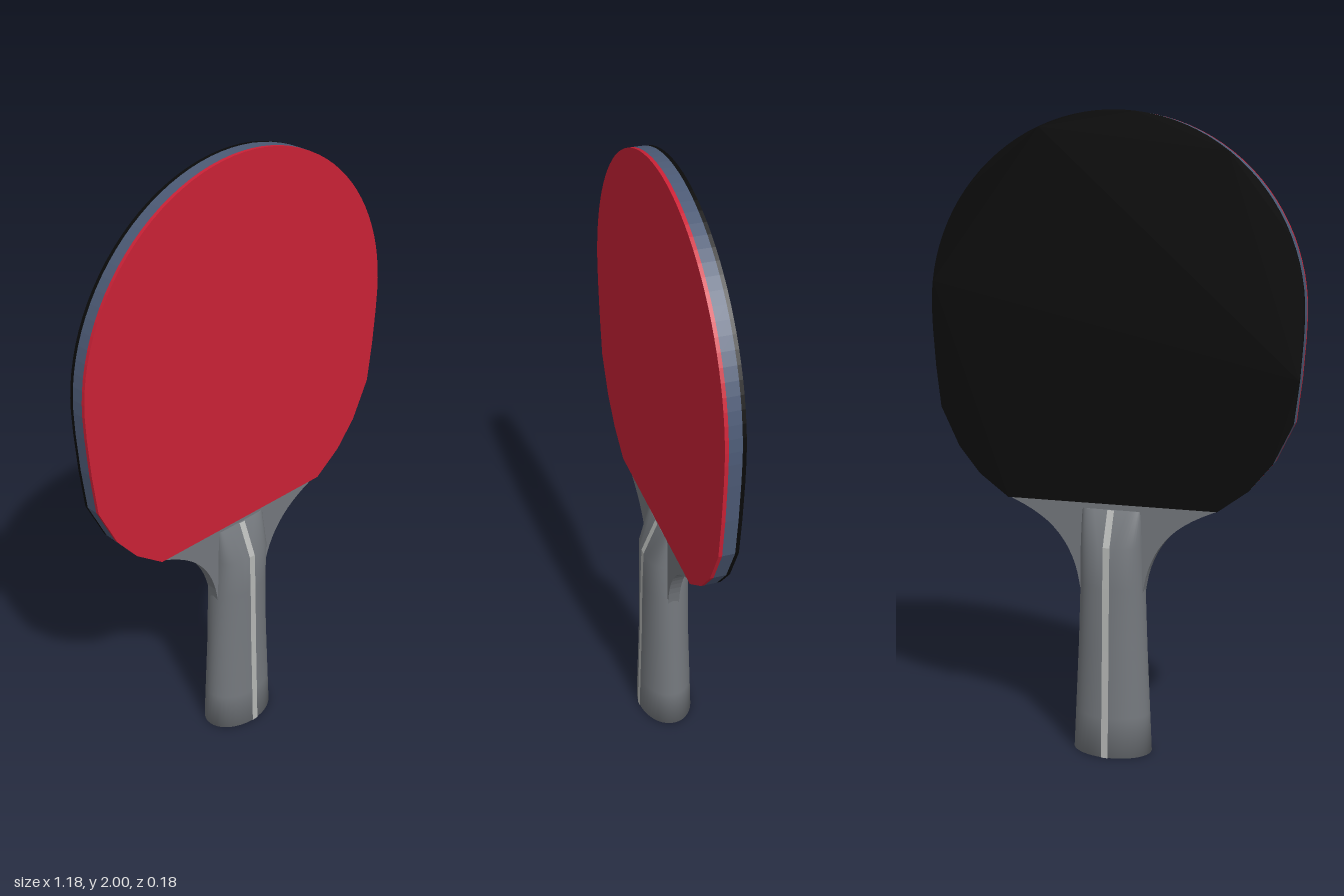
import * as THREE from 'three';

const mat = (color, side = THREE.FrontSide) =>
  new THREE.MeshStandardMaterial({ color, side });

// Extrude an outline between two z planes
function plate(name, shape, z0, z1, material) {
  const geo = new THREE.ExtrudeGeometry(shape, { depth: z1 - z0, bevelEnabled: false });
  geo.translate(0, 0, z0);
  const mesh = new THREE.Mesh(geo, material);
  mesh.name = name;
  return mesh;
}

// Shape symmetric about x = 0 from its right-hand half, listed bottom to top
function mirroredShape(half) {
  const left = half.filter(([x]) => x > 0).map(([x, y]) => [-x, y]).reverse();
  return new THREE.Shape([...half, ...left].map(([x, y]) => new THREE.Vector2(x, y)));
}

// Handle sections: height, half width, half depth, roundness (1 = ellipse, 0 = box)
const SECTIONS = [
  [0, 0.128, 0.09, 1],
  [0.13, 0.122, 0.086, 1],
  [0.35, 0.112, 0.079, 1],
  [0.55, 0.104, 0.075, 0.9],
  [0.68, 0.1, 0.07, 0.7],
  [0.79, 0.097, 0.023, 0.3],
];

function handleGeometry(n = 40) {
  const pos = [], idx = [];
  const bend = (v, p) => Math.sign(v) * Math.pow(Math.abs(v), p);
  const ring = ([y, rx, rz, p]) => {
    for (let i = 0; i < n; i++) {
      const a = (i / n) * Math.PI * 2;
      const c = Math.round(Math.cos(a) * 1e6) / 1e6, s = Math.round(Math.sin(a) * 1e6) / 1e6;
      pos.push(rx * bend(c, p), y, rz * bend(s, p));
    }
  };
  const last = SECTIONS[SECTIONS.length - 1];
  SECTIONS.forEach(ring);
  ring(last); // separate rim keeps the top edge sharp
  const rim = SECTIONS.length * n, bottom = rim + n, top = bottom + 1;
  pos.push(0, 0, 0, 0, last[0], 0);
  for (let i = 0; i < n; i++) {
    const j = (i + 1) % n;
    for (let k = 0; k < SECTIONS.length - 1; k++) {
      const a = k * n + i, b = k * n + j;
      idx.push(a, a + n, b, b, a + n, b + n);
    }
    idx.push(bottom, i, j, top, rim + j, rim + i);
  }
  const geo = new THREE.BufferGeometry();
  geo.setAttribute('position', new THREE.Float32BufferAttribute(pos, 3));
  geo.setIndex(idx);
  geo.computeVertexNormals();
  return geo;
}

// Ribbon down the front of the handle, under the butt and up the back
function stripeGeometry(halfWidth = 0.011, lift = 0.001) {
  const front = SECTIONS.map(([y, , rz]) => [y === 0 ? -lift : y, rz + lift]);
  const path = [...front.slice().reverse(), ...front.map(([y, z]) => [y, -z])];
  const pos = [], idx = [];
  path.forEach(([y, z], i) => {
    pos.push(-halfWidth, y, z, halfWidth, y, z);
    if (i) {
      const a = 2 * i - 2;
      idx.push(a, a + 2, a + 1, a + 1, a + 2, a + 3);
    }
  });
  const geo = new THREE.BufferGeometry();
  geo.setAttribute('position', new THREE.Float32BufferAttribute(pos, 3));
  geo.setIndex(idx);
  const flat = geo.toNonIndexed();
  flat.computeVertexNormals();
  return flat;
}

export function createModel() {
  const model = new THREE.Group();
  const grey = mat(0x74787d);

  // Blade outline: tapered lower sides under a half circle
  const half = [[0.34, 0.81], [0.435, 0.88], [0.505, 0.965], [0.565, 1.09], [0.58, 1.22], [0.588, 1.34]];
  const arcSteps = 24;
  for (let i = 0; i <= arcSteps; i++) {
    const a = (i / arcSteps) * Math.PI / 2;
    half.push([i === arcSteps ? 0 : 0.59 * Math.cos(a), 1.41 + 0.59 * Math.sin(a)]);
  }
  const outline = mirroredShape(half);
  model.add(
    plate('bladeCore', outline, -0.019, 0.019, mat(0x4c5a75)),
    plate('frontRubber', outline, 0.019, 0.03, mat(0xcb2136)),
    plate('backRubber', outline, -0.03, -0.019, mat(0x0a0a0a)),
  );

  // Throat flaring from the handle to the blade
  const flare = new THREE.SplineCurve([
    [0.103, 0.53], [0.118, 0.6], [0.15, 0.67], [0.2, 0.73], [0.265, 0.775], [0.34, 0.81],
  ].map(([x, y]) => new THREE.Vector2(x, y))).getPoints(14).map((p) => [p.x, p.y]);
  model.add(plate('throat', mirroredShape([[0.09, 0.5], ...flare]), -0.019, 0.019, grey));

  // Handle and its centre stripe
  const handle = new THREE.Mesh(handleGeometry(), grey);
  handle.name = 'handle';
  const stripe = new THREE.Mesh(stripeGeometry(), mat(0xb4b6b4, THREE.DoubleSide));
  stripe.name = 'handleStripe';
  model.add(handle, stripe);

  return model;
}
